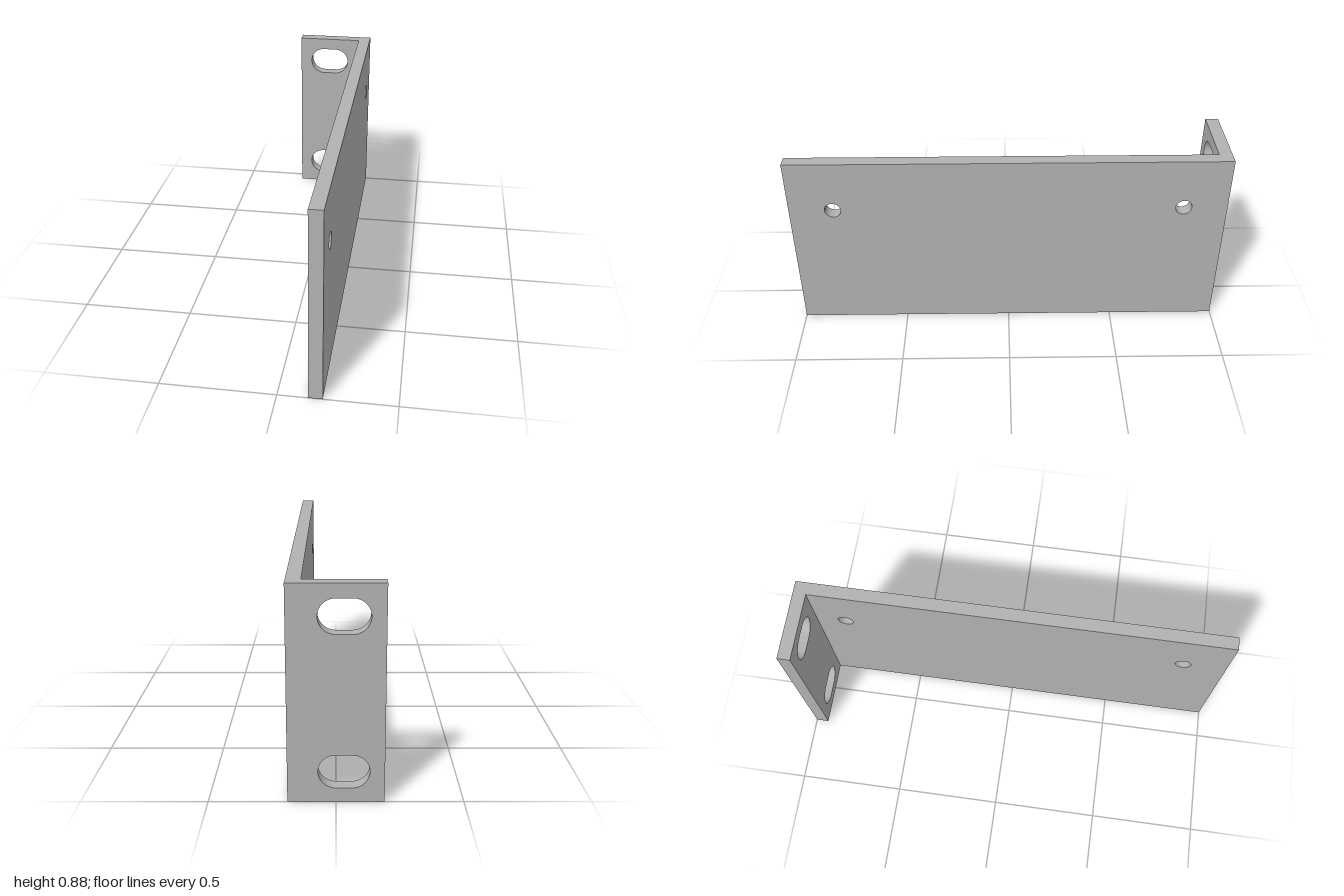
import * as THREE from 'three';
import { toCreasedNormals } from 'three/addons/utils/BufferGeometryUtils.js';

const HEIGHT = 0.88;
const THICK = 0.06;

// Flat plate from u0 to u1, pierced by holes; each hole is round, or a slot when half > 0
function plateGeometry(u0, u1, holes) {
  const shape = new THREE.Shape();
  shape.moveTo(u0, 0);
  shape.lineTo(u1, 0);
  shape.lineTo(u1, HEIGHT);
  shape.lineTo(u0, HEIGHT);
  shape.closePath();
  for (const { u, y, r, half = 0 } of holes) {
    const path = new THREE.Path();
    if (half > 0) {
      path.absarc(u + half, y, r, -Math.PI / 2, Math.PI / 2, false);
      path.absarc(u - half, y, r, Math.PI / 2, Math.PI * 1.5, false);
      path.closePath();
    } else {
      path.absarc(u, y, r, 0, Math.PI * 2, false);
    }
    shape.holes.push(path);
  }
  const geometry = new THREE.ExtrudeGeometry(shape, { depth: THICK, bevelEnabled: false, curveSegments: 24 });
  return toCreasedNormals(geometry, Math.PI / 6);
}

export function createModel() {
  const group = new THREE.Group();
  group.name = 'angleBracket';
  const metal = new THREE.MeshStandardMaterial({ color: 0xb2b2b2 });
  metal.name = 'grey metal';

  // Long side plate with two round screw holes
  const sideGeometry = plateGeometry(-1, 1, [-0.8, 0.8].map((u) => ({ u, y: 0.635, r: 0.037 })));
  sideGeometry.rotateY(-Math.PI / 2).translate(0.19, 0, 0);
  const sidePlate = new THREE.Mesh(sideGeometry, metal);
  sidePlate.name = 'sidePlate';

  // Short mounting flange at the back with two slots
  const slots = [0.128, 0.753].map((y) => ({ u: -0.031, y, r: 0.069, half: 0.032 }));
  const flangeGeometry = plateGeometry(-0.19, 0.13, slots).translate(0, 0, -1);
  const flange = new THREE.Mesh(flangeGeometry, metal);
  flange.name = 'mountingFlange';

  group.add(sidePlate, flange);
  return group;
}
